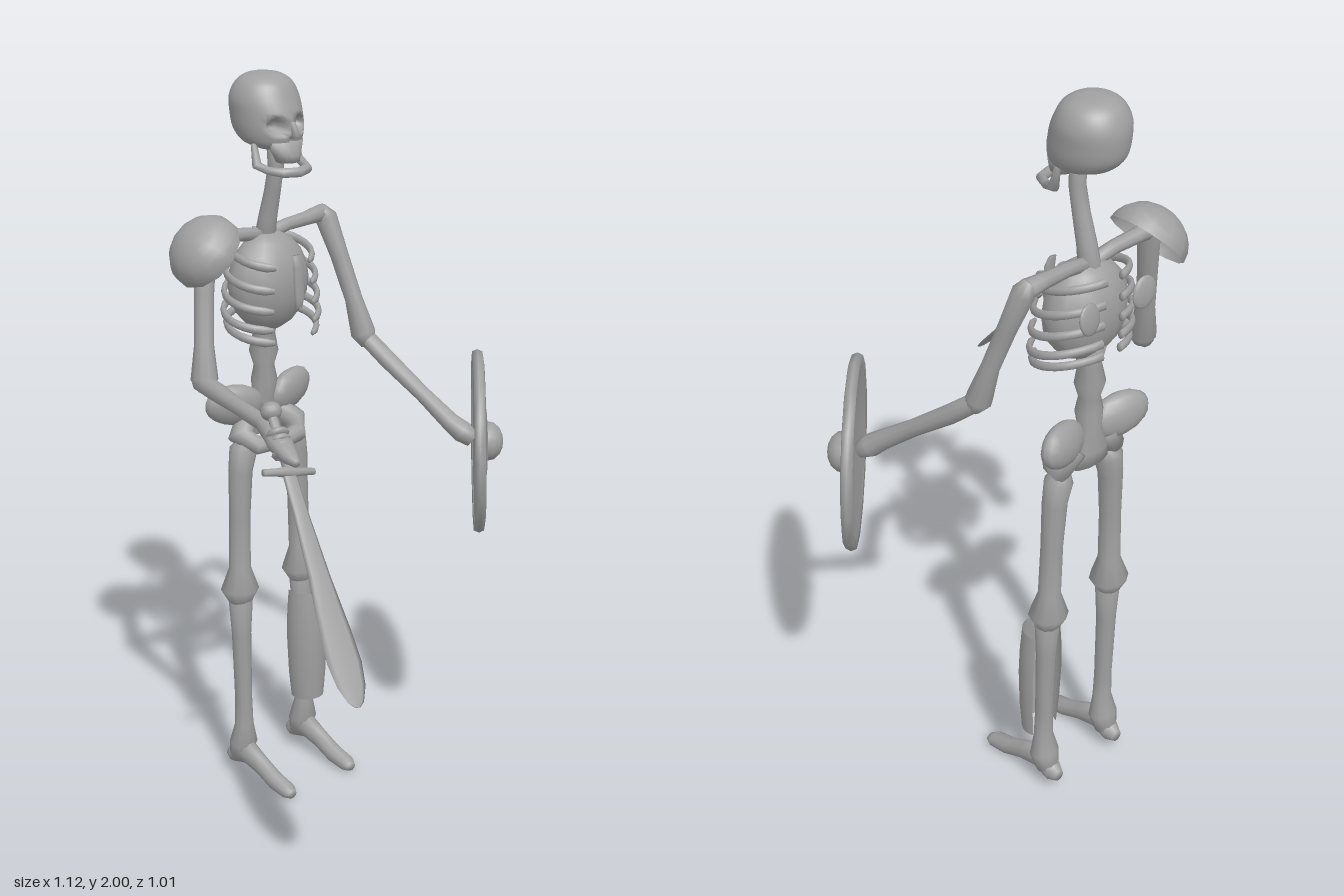
import * as THREE from 'three';

const V = (x, y, z) => new THREE.Vector3(x, y, z);
const CX = -0.015; // centre line of the body
const bone = new THREE.MeshStandardMaterial({ color: 0xa0a0a0, side: THREE.DoubleSide });
bone.name = 'grey bone';

// Solid swept through points [x, y, z, halfWidth, halfDepth]; axis fixes the ring plane.
function sweep(pts, sides = 10, axis = null, ref = V(0, 0, 1)) {
  const pos = [], idx = [], P = pts.map(p => V(p[0], p[1], p[2])), n = pts.length;
  for (let i = 0; i < n; i++) {
    const t = axis ? axis.clone() : P[Math.min(i + 1, n - 1)].clone().sub(P[Math.max(i - 1, 0)]).normalize();
    const u = ref.clone().cross(t).normalize(), v = t.clone().cross(u);
    const ru = pts[i][3], rv = pts[i][4] ?? ru;
    for (let j = 0; j < sides; j++) {
      const a = j / sides * Math.PI * 2;
      const q = P[i].clone().addScaledVector(u, ru * Math.cos(a)).addScaledVector(v, rv * Math.sin(a));
      pos.push(q.x, q.y, q.z);
    }
  }
  pos.push(...P[0].toArray(), ...P[n - 1].toArray());
  for (let j = 0; j < sides; j++) {
    const k = (j + 1) % sides, e = (n - 1) * sides;
    for (let i = 0; i < n - 1; i++) {
      const a = i * sides + j, b = i * sides + k;
      idx.push(a, b, a + sides, b, b + sides, a + sides);
    }
    idx.push(n * sides, k, j, n * sides + 1, e + j, e + k);
  }
  const g = new THREE.BufferGeometry();
  g.setAttribute('position', new THREE.Float32BufferAttribute(pos, 3));
  g.setIndex(idx);
  g.computeVertexNormals();
  return g;
}

export function createModel() {
  const model = new THREE.Group();
  model.name = 'skeletonWarrior';
  const add = (name, geo, parent = model) => {
    const m = new THREE.Mesh(geo, bone);
    m.name = name;
    parent.add(m);
    return m;
  };
  const ball = (name, x, y, z, rx, ry = rx, rz = rx, parent = model) => {
    const m = add(name, new THREE.SphereGeometry(1, 14, 10), parent);
    m.position.set(x, y, z);
    m.scale.set(rx, ry, rz);
    return m;
  };
  const Y = V(0, 1, 0);

  // Skull: rows of height, half width, front z, back z, smoothed, with eye and nose hollows
  const rows = [[1.815, 0.05, -0.30, -0.40], [1.83, 0.074, -0.285, -0.45], [1.86, 0.086, -0.28, -0.478],
    [1.90, 0.09, -0.287, -0.486], [1.94, 0.09, -0.302, -0.484], [1.975, 0.074, -0.32, -0.468],
    [1.993, 0.05, -0.345, -0.445], [2.0, 0.02, -0.37, -0.42]];
  const wid = new THREE.CatmullRomCurve3(rows.map(r => V(r[1], r[0], 0)));
  const dep = new THREE.CatmullRomCurve3(rows.map(r => V(r[2], r[0], r[3])));
  const skullPts = [];
  for (let i = 0; i <= 28; i++) {
    const a = wid.getPoint(i / 28), b = dep.getPoint(i / 28);
    skullPts.push([CX, a.y, (b.x + b.z) / 2, a.x, (b.x - b.z) / 2]);
  }
  const skull = sweep(skullPts, 40, Y), sp = skull.attributes.position;
  for (let i = 0; i < sp.count; i++) {
    const x = sp.getX(i) - CX, y = sp.getY(i), z = sp.getZ(i);
    if (z < -0.36) continue;
    const eye = Math.hypot((Math.abs(x) - 0.036) / 0.024, (y - 1.875) / 0.022);
    const nose = Math.hypot(x / 0.011, (y - 1.838) / 0.014);
    const dent = Math.max(0, 1 - eye * eye) * 0.05 + Math.max(0, 1 - nose * nose) * 0.02;
    sp.setZ(i, z - Math.min(dent, 0.04));
  }
  skull.computeVertexNormals();
  add('skull', skull);
  add('upperJaw', sweep([[CX, 1.782, -0.305, 0.032, 0.03], [CX, 1.80, -0.308, 0.04, 0.034],
    [CX, 1.835, -0.315, 0.055, 0.034]], 14, Y));
  add('noseBridge', sweep([[CX, 1.885, -0.285, 0.007], [CX, 1.852, -0.272, 0.011], [CX, 1.846, -0.285, 0.005]], 6));
  add('jaw', sweep([[-0.07, 1.83, -0.355, 0.008], [-0.07, 1.775, -0.345, 0.013], [-0.06, 1.765, -0.31, 0.011],
    [-0.04, 1.762, -0.275, 0.013], [0, 1.76, -0.262, 0.013], [0.04, 1.762, -0.275, 0.013],
    [0.06, 1.765, -0.31, 0.011], [0.07, 1.775, -0.345, 0.013], [0.07, 1.83, -0.355, 0.008]]
    .map(p => [p[0] + CX, ...p.slice(1)]), 8, null, Y.clone().add(V(0.01, 0, 0.3))));

  // Spine
  add('neck', sweep([[CX, 1.84, -0.355, 0.022], [CX, 1.76, -0.352, 0.021], [CX, 1.69, -0.368, 0.022],
    [CX, 1.62, -0.388, 0.025], [CX, 1.54, -0.405, 0.03]]));
  add('lowerSpine', sweep([[CX, 1.36, -0.41, 0.045], [CX, 1.30, -0.412, 0.03], [CX, 1.25, -0.415, 0.04],
    [CX, 1.21, -0.415, 0.028], [CX, 1.17, -0.415, 0.036], [CX, 1.12, -0.42, 0.03],
    [CX, 1.06, -0.425, 0.05, 0.03], [CX, 1.02, -0.42, 0.065, 0.026]], 10));

  // Rib cage
  ball('chestCore', CX, 1.45, -0.39, 0.122, 0.135, 0.085);
  add('breastbone', sweep([[CX, 1.40, -0.27, 0.012, 0.006], [CX, 1.425, -0.268, 0.017, 0.008],
    [CX, 1.51, -0.27, 0.018, 0.008], [CX, 1.538, -0.278, 0.013, 0.006]], 8, Y));
  [[1.535, 0.115], [1.475, 0.13], [1.42, 0.137], [1.37, 0.142], [1.335, 0.132]].forEach(([y, w], r) => {
    for (const s of [-1, 1]) {
      const pts = [];
      for (let i = 0; i <= 12; i++) {
        const a = -1.35 + i / 12 * 2.4;
        pts.push([CX + s * w * Math.cos(a), y - 0.028 * Math.sin(a), -0.38 + 0.102 * Math.sin(a),
          i === 12 ? 0.005 : 0.008, i === 12 ? 0.007 : 0.012]);
      }
      add('rib' + (r + 1), sweep(pts, 8, null, Y));
    }
  });

  // Paired collar bones, shoulder blades, hips and legs
  for (const s of [-1, 1]) {
    const X = d => CX + s * d;
    add('collarBone', sweep([[X(0.02), 1.575, -0.40, 0.018], [X(0.08), 1.585, -0.402, 0.018],
      [X(0.15), 1.588, -0.405, 0.02], [X(0.215), 1.592, -0.41, 0.025]], 8));
    const blade = ball('shoulderBlade', X(0.092), 1.495, -0.492, 0.036, 0.042, 0.01);
    blade.rotation.set(0.12, s * 0.1, s * -0.3);
    const wing = ball('hipWing', X(0.098), 1.115, -0.425, 0.088, 0.058, 0.034);
    wing.rotation.set(0.15, s * 0.25, s * 0.12);
    add('pelvicArch', sweep([[X(0.05), 1.08, -0.425, 0.03], [X(0.095), 1.03, -0.405, 0.036],
      [X(0.07), 1.008, -0.365, 0.026], [X(0), 1.01, -0.345, 0.022]], 10, null, V(0.1, 0.4, 1)));
    const leg = new THREE.Group();
    leg.name = s > 0 ? 'leftLeg' : 'rightLeg';
    model.add(leg);
    add('thighBone', sweep([[X(0.075), 1.02, -0.405, 0.02], [X(0.088), 0.99, -0.405, 0.038],
      [X(0.1), 0.93, -0.405, 0.033], [X(0.106), 0.80, -0.405, 0.029], [X(0.11), 0.65, -0.405, 0.03],
      [X(0.112), 0.585, -0.405, 0.055, 0.05], [X(0.113), 0.54, -0.403, 0.028]], 10), leg);
    add('shinBone', sweep([[X(0.112), 0.56, -0.403, 0.034], [X(0.113), 0.45, -0.402, 0.027],
      [X(0.113), 0.25, -0.40, 0.024], [X(0.113), 0.17, -0.40, 0.026], [X(0.113), 0.11, -0.405, 0.042, 0.036],
      [X(0.113), 0.06, -0.42, 0.03]], 10), leg);
    add('foot', sweep([[X(0.113), 0.055, -0.462, 0.016, 0.016], [X(0.113), 0.06, -0.44, 0.028, 0.028],
      [X(0.113), 0.085, -0.39, 0.028, 0.04], [X(0.113), 0.062, -0.33, 0.024, 0.03],
      [X(0.113), 0.035, -0.27, 0.025, 0.026], [X(0.113), 0.024, -0.215, 0.025, 0.02],
      [X(0.113), 0.02, -0.198, 0.015, 0.012]], 10, V(0, 0, 1), Y), leg);
  }

  // Shin guard: curved shell, open at the back
  const guard = new THREE.LatheGeometry([[0.047, 0.19], [0.054, 0.27], [0.058, 0.38], [0.056, 0.46], [0.051, 0.525]]
    .map(p => new THREE.Vector2(...p)), 14, -2.0, 4.0);
  add('shinGuard', guard).position.set(0.099, 0, -0.385);

  // Arms
  add('leftUpperArm', sweep([[0.19, 1.605, -0.41, 0.018], [0.205, 1.58, -0.403, 0.03], [0.222, 1.48, -0.37, 0.025],
    [0.238, 1.36, -0.33, 0.024], [0.25, 1.265, -0.305, 0.034], [0.255, 1.235, -0.29, 0.02]]));
  add('leftForearm', sweep([[0.25, 1.265, -0.31, 0.024], [0.275, 1.20, -0.235, 0.025], [0.305, 1.12, -0.13, 0.022],
    [0.328, 1.055, -0.045, 0.026], [0.345, 1.03, -0.015, 0.03], [0.36, 1.01, 0.01, 0.022]], 10, null, Y));
  add('rightUpperArm', sweep([[-0.205, 1.61, -0.405, 0.02], [-0.215, 1.58, -0.403, 0.03], [-0.238, 1.46, -0.385, 0.026],
    [-0.262, 1.33, -0.362, 0.026], [-0.278, 1.245, -0.345, 0.036], [-0.28, 1.215, -0.335, 0.02]]));
  add('rightForearm', sweep([[-0.278, 1.235, -0.36, 0.026], [-0.292, 1.23, -0.28, 0.026], [-0.312, 1.222, -0.17, 0.021],
    [-0.333, 1.215, -0.05, 0.022], [-0.348, 1.205, 0, 0.026], [-0.362, 1.195, 0.045, 0.034, 0.026],
    [-0.378, 1.175, 0.10, 0.022, 0.018], [-0.384, 1.17, 0.13, 0.01]], 10, null, Y));

  // Shoulder guard: open dome facing up and outward
  const dome = add('shoulderGuard', new THREE.SphereGeometry(0.104, 12, 6, 0, Math.PI * 2, 0, Math.PI / 2));
  dome.position.set(-0.212, 1.557, -0.40);
  dome.quaternion.setFromUnitVectors(Y, V(-0.74, 0.67, 0).normalize());
  dome.scale.y = 0.85;

  // Sword: local -y runs along the blade, local x along the cross guard
  const sword = new THREE.Group();
  sword.name = 'sword';
  const up = V(0.155, 0.43, -0.405).normalize(), side = V(0.94, -0.18, 0.17);
  side.addScaledVector(up, -side.dot(up)).normalize();
  sword.matrixAutoUpdate = true;
  sword.quaternion.setFromRotationMatrix(new THREE.Matrix4().makeBasis(side, up, side.clone().cross(up)));
  sword.position.set(-0.382, 1.14, 0.098);
  model.add(sword);
  add('blade', sweep([[0, 0, 0, 0.02, 0.006], [0, -0.12, 0, 0.023, 0.006], [0, -0.28, 0, 0.032, 0.006],
    [0, -0.42, 0, 0.045, 0.005], [0, -0.50, 0, 0.049, 0.005], [0, -0.56, 0, 0.04, 0.004],
    [0, -0.60, 0, 0.022, 0.003], [0, -0.612, 0, 0.008, 0.002]], 8, Y), sword);
  add('crossGuard', sweep([[-0.073, 0, 0, 0.009], [-0.03, 0, 0, 0.011], [0, 0, 0, 0.016],
    [0.03, 0, 0, 0.011], [0.073, 0, 0, 0.009]], 8), sword);
  add('grip', sweep([[0, 0, 0, 0.013], [0, 0.16, 0, 0.013]], 8, Y), sword);
  ball('pommel', 0, 0.167, 0, 0.027, 0.024, 0.027, sword);
  for (let i = 0; i < 4; i++) {
    const finger = add('finger', new THREE.TorusGeometry(0.021, 0.009, 6, 12), sword);
    finger.rotation.x = Math.PI / 2;
    finger.position.y = 0.05 + i * 0.018;
  }

  // Round shield: shallow dish, raised rim and central boss; local +y faces outward
  const shield = new THREE.Group();
  shield.name = 'shield';
  shield.position.set(0.372, 1.005, 0.018);
  shield.quaternion.setFromUnitVectors(Y, V(0.707, 0.02, 0.707).normalize());
  model.add(shield);
  const lathe = (name, pts) => add(name, new THREE.LatheGeometry(pts.map(p => new THREE.Vector2(...p)), 14), shield);
  lathe('shieldFace', [[0.235, 0], [0.16, 0.014], [0.08, 0.024], [0, 0.028]]);
  lathe('shieldBack', [[0, 0.016], [0.08, 0.012], [0.16, 0.002], [0.235, -0.01]]);
  lathe('shieldRim', [[0.221, -0.012], [0.243, -0.014], [0.249, 0], [0.243, 0.014], [0.224, 0.017], [0.217, 0.004]]);
  lathe('shieldBoss', [[0.054, 0.022], [0.05, 0.042], [0.036, 0.058], [0.018, 0.066], [0, 0.068]]);

  return model;
}
